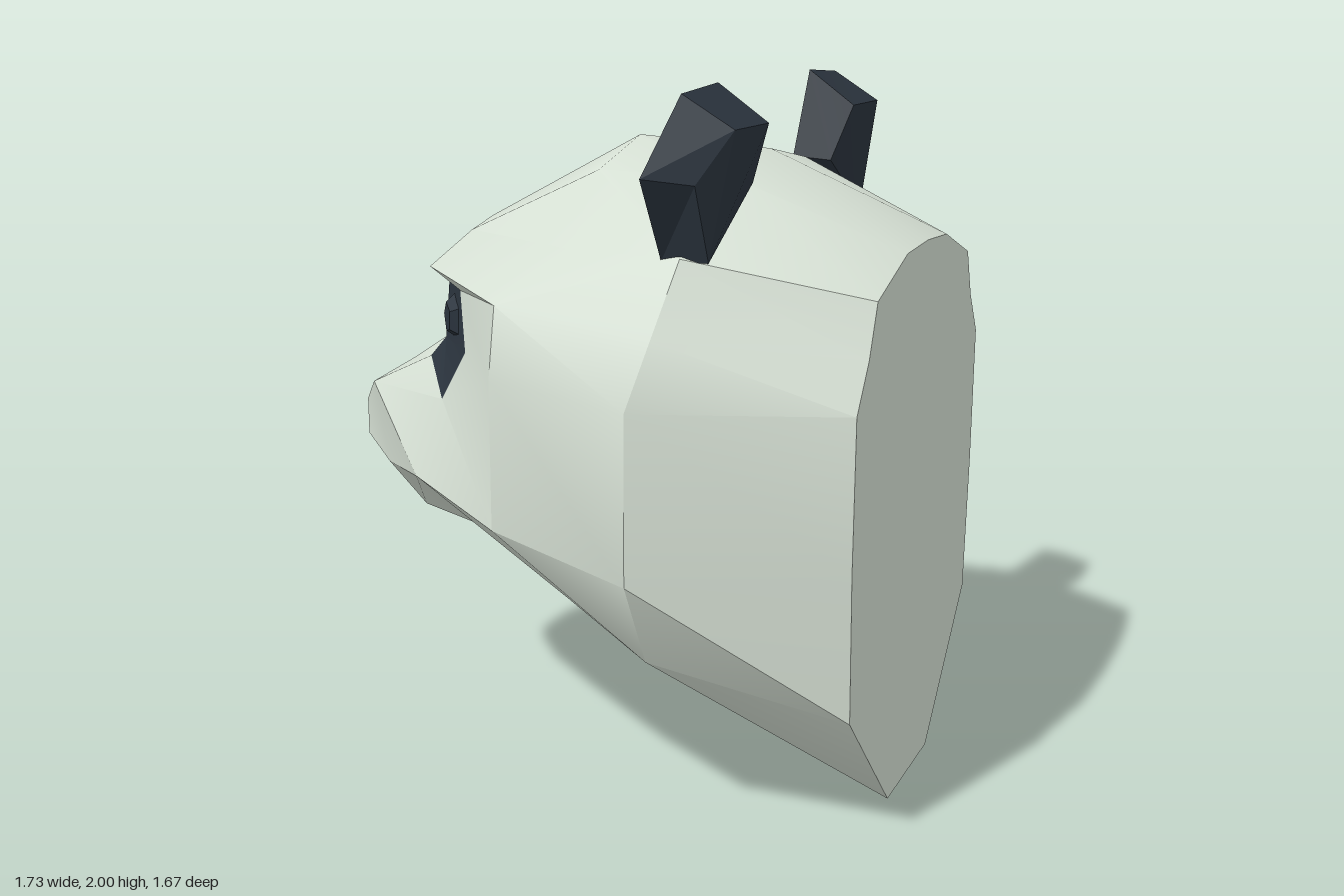
import * as THREE from 'three';
import { toCreasedNormals } from 'three/addons/utils/BufferGeometryUtils.js';

const pale = new THREE.MeshStandardMaterial({ color: 0xd5dfd3 });
pale.name = 'pale fur';
const dark = new THREE.MeshStandardMaterial({ color: 0x2b343e });
dark.name = 'dark fur';

// Polygons become triangle fans, each turned to face away from an inner point.
function shell(name, polygons, inner, material, crease = 0.5) {
  const c = new THREE.Vector3(...inner);
  const pos = [];
  for (const poly of polygons) {
    const v = poly.map((p) => new THREE.Vector3(...p));
    for (let i = 1; i < v.length - 1; i++) {
      const tri = [v[0], v[i], v[i + 1]];
      const n = tri[1].clone().sub(tri[0]).cross(tri[2].clone().sub(tri[0]));
      const out = tri[0].clone().add(tri[1]).add(tri[2]).divideScalar(3).sub(c);
      if (n.dot(out) < 0) tri.reverse();
      for (const p of tri) pos.push(p.x, p.y, p.z);
    }
  }
  const g = new THREE.BufferGeometry();
  g.setAttribute('position', new THREE.Float32BufferAttribute(pos, 3));
  g.computeVertexNormals();
  const mesh = new THREE.Mesh(toCreasedNormals(g, crease), material);
  mesh.name = name;
  return mesh;
}

const mirror = (polys) => polys.map((poly) => poly.map(([x, y, z]) => [x, y, -z]));
const both = (polys) => [...polys, ...mirror(polys)];
const mid = ([x, y]) => [x, y, 0];

// Points of one half of the head
const noseTop = [-0.865, 1.03, 0], noseSide = [-0.84, 1.0, 0.19];
const noseLow = [-0.84, 0.89, 0.19], noseBase = [-0.865, 0.85, 0.09];
const muzzleTop = [-0.78, 1.1, 0], muzzleSide = [-0.76, 1.08, 0.275];
const muzzleLow = [-0.72, 0.83, 0.265], lip = [-0.78, 0.78, 0.13], chin = [-0.64, 0.685, 0.19];
const bridge = [-0.5, 1.25, 0], bridgeSide = [-0.5, 1.24, 0.28];
const patchFront = [-0.55, 1.18, 0.285], patchLow = [-0.41, 1.1, 0.465], patchBack = [-0.31, 1.25, 0.5];
const socketMid = [-0.48, 1.41, 0], socketIn = [-0.47, 1.44, 0.3], socketOut = [-0.35, 1.415, 0.45];
const brow = [-0.56, 1.48, 0], browSide = [-0.5, 1.46, 0.36], browEnd = [-0.11, 1.43, 0.69];
const forehead = [-0.49, 1.565, 0], foreheadSide = [-0.41, 1.56, 0.27], temple = [0.05, 1.57, 0.56];
const crown = [0, 1.825, 0], crownSide = [0, 1.75, 0.28];
const top = [0.4, 1.8, 0], topSide = [0.4, 1.75, 0.3];
const earBase = [0.4, 1.58, 0.65], upperSide = [0.37, 1.39, 0.765];
const side = [0.33, 1.215, 0.835], sideLow = [0.33, 0.76, 0.835], jawBack = [0.33, 0.51, 0.7];
const cheekTop = [-0.1, 1.24, 0.745], cheekLow = [-0.1, 0.83, 0.745], cheekFront = [-0.47, 0.88, 0.52];
const jaw = [0.06, 0.61, 0.6], throat = [-0.26, 0.61, 0.22], neck = [0.2, 0.3, 0.2];
const rim = [
  [0.86, 1.57, 0], [0.86, 1.56, 0.2], [0.86, 1.475, 0.46], [0.86, 1.335, 0.52],
  [0.86, 1.21, 0.61], [0.86, 0.8, 0.61], [0.86, 0.385, 0.59], [0.86, 0, 0.2],
];

function headFaces() {
  const half = [
    // muzzle
    [noseTop, noseSide, muzzleSide, muzzleTop],
    [noseSide, noseLow, muzzleLow, muzzleSide],
    [noseLow, noseBase, lip, muzzleLow],
    [muzzleTop, muzzleSide, patchFront, bridgeSide, bridge],
    [muzzleSide, muzzleLow, cheekFront],
    [muzzleSide, cheekFront, patchLow, patchFront],
    [muzzleLow, lip, chin], [muzzleLow, chin, cheekFront],
    // cheek and jaw
    [cheekFront, cheekLow, patchLow],
    [patchLow, cheekLow, cheekTop, patchBack],
    [cheekTop, cheekLow, sideLow, side],
    [cheekFront, chin, throat], [cheekFront, throat, jaw], [cheekFront, jaw, cheekLow],
    [cheekLow, jaw, jawBack, sideLow],
    [throat, neck, jaw], [jaw, neck, jawBack],
    // eye socket and brow
    [bridge, bridgeSide, socketIn, socketMid],
    [socketOut, browEnd, cheekTop, patchBack],
    [brow, browSide, socketIn, socketMid],
    [browSide, socketOut, socketIn], [browSide, browEnd, socketOut],
    // forehead and crown
    [brow, browSide, foreheadSide, forehead],
    [browSide, browEnd, temple], [browSide, temple, foreheadSide],
    [forehead, foreheadSide, crownSide, crown],
    [foreheadSide, temple, crownSide],
    [crown, crownSide, topSide, top],
    [crownSide, temple, earBase, topSide],
    [browEnd, cheekTop, side, upperSide],
    [browEnd, upperSide, earBase, temple],
    // flat cut at the back
    [...rim, mid(rim[7])],
  ];
  // rear band
  const ring = [top, topSide, earBase, upperSide, side, sideLow, jawBack, neck];
  for (let i = 0; i < 7; i++) half.push([ring[i], ring[i + 1], rim[i + 1], rim[i]]);
  // underside
  const under = [noseBase, lip, chin, throat, neck, rim[7]];
  for (let i = 0; i < 5; i++) {
    half.push([under[i], under[i + 1], mid(under[i + 1]), mid(under[i])]);
  }
  return both(half);
}

function makeEar(s) {
  const ear = new THREE.Group();
  ear.name = s > 0 ? 'nearEar' : 'farEar';
  const flip = (p) => [p[0], p[1], p[2] * s];
  const front = [
    [0.345, 1.57, 0.64], [0.35, 1.79, 0.785], [0.385, 1.985, 0.61],
    [0.385, 2.0, 0.365], [0.36, 1.75, 0.305],
  ].map(flip);
  const back = [
    [0.47, 1.57, 0.63], [0.46, 1.77, 0.7], [0.525, 1.9, 0.6],
    [0.525, 1.9, 0.36], [0.47, 1.74, 0.325],
  ].map(flip);
  const c = [0.365, 1.82, 0.54 * s];
  const inset = (k, dx) => front.map((p) => p.map((v, i) => c[i] + (v - c[i]) * k + (i ? 0 : dx)));
  const loft = (a, b) => a.map((p, i) => [p, a[(i + 1) % 5], b[(i + 1) % 5], b[i]]);
  const edge = inset(0.7, 0), bowl = inset(0.5, 0.05);
  ear.add(shell('earShell', [...loft(front, back), back], [0.43, 1.8, 0.54 * s], dark, 0.3));
  ear.add(shell('innerEar', [...loft(front, edge), ...loft(edge, bowl), bowl],
    [0.9, 1.82, 0.54 * s], dark, 0.3));
  return ear;
}

function makeEye(s) {
  const g = new THREE.CylinderGeometry(0.045, 0.07, 0.03, 5).toNonIndexed();
  g.computeVertexNormals();
  const eye = new THREE.Mesh(g, dark);
  eye.name = 'eye';
  eye.position.set(-0.41, 1.325, 0.395 * s);
  eye.quaternion.setFromUnitVectors(new THREE.Vector3(0, 1, 0),
    new THREE.Vector3(-0.75, 0, 0.66 * s).normalize());
  return eye;
}

export function createModel() {
  const model = new THREE.Group();
  model.name = 'bearHead';
  const inner = [0.3, 1.25, 0];
  model.add(shell('head', headFaces(), inner, pale));
  model.add(shell('nose', both([[noseTop, noseSide, noseLow, noseBase, mid(noseBase)]]), inner, dark));
  model.add(shell('eyePatches', both([
    [bridgeSide, patchFront, patchLow, patchBack],
    [bridgeSide, patchBack, socketOut, socketIn],
  ]), inner, dark));
  for (const s of [1, -1]) model.add(makeEar(s), makeEye(s));
  return model;
}
